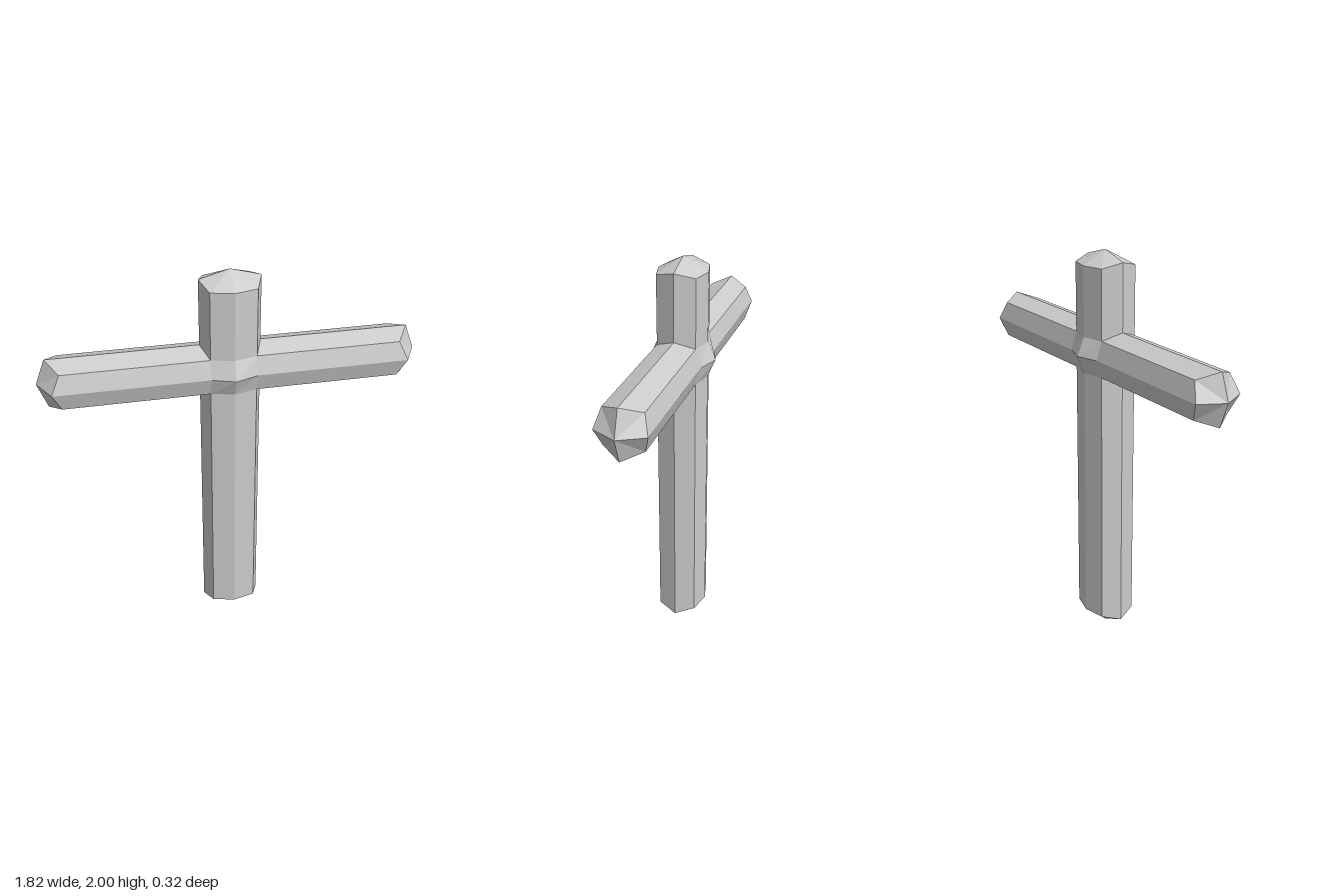
import * as THREE from 'three';

const CENTRE_Y = 1.505;
const material = new THREE.MeshStandardMaterial({ color: 0xcccccc, flatShading: true });

// Per-corner kinds of the eight-sided section: side, diagonal, face, diagonal, ...
const KIND = [0, 1, 2, 1, 0, 1, 2, 1];

// Faceted bar growing along +y: its root and end heights vary by corner kind, then it closes in a point
function limbGeometry({ side, diagonal, root, end, tip }) {
  const section = [
    [side, 0], [diagonal, 0.095], [0, 0.122], [-diagonal, 0.095],
    [-side, 0], [-diagonal, -0.095], [0, -0.122], [diagonal, -0.095],
  ];
  const positions = [];
  const index = [];
  for (const heights of [root, end]) {
    section.forEach(([x, z], i) => positions.push(x, heights[KIND[i]], z));
  }
  positions.push(0, tip, 0);
  for (let i = 0; i < 8; i++) {
    const j = (i + 1) % 8;
    index.push(i, i + 8, j, j, i + 8, j + 8); // wall
    index.push(i + 8, 16, j + 8); // pointed cap
  }
  return finish(positions, index);
}

function finish(positions, index) {
  const indexed = new THREE.BufferGeometry();
  indexed.setAttribute('position', new THREE.Float32BufferAttribute(positions, 3));
  indexed.setIndex(index);
  const geometry = indexed.toNonIndexed();
  geometry.computeVertexNormals();
  return geometry;
}

// Shallow four-facet boss covering the crossing
function bossGeometry() {
  const plane = new THREE.PlaneGeometry(0.22, 0.18, 2, 2);
  const p = plane.attributes.position;
  for (let i = 0; i < p.count; i++) {
    const offAxis = (Math.abs(p.getX(i)) > 0.01) + (Math.abs(p.getY(i)) > 0.01);
    p.setZ(i, [0.16, 0.122, 0.095][offAxis]);
  }
  return finish(Array.from(p.array), Array.from(plane.index.array));
}

export function createModel() {
  const group = new THREE.Group();
  const add = (name, geometry) => {
    const mesh = new THREE.Mesh(geometry, material);
    mesh.name = name;
    mesh.position.y = CENTRE_Y;
    group.add(mesh);
    return mesh;
  };

  // Upright post, above and below the crossing
  const post = { side: 0.146, diagonal: 0.11, root: [0.125, 0.09, 0.09] };
  add('upperPost', limbGeometry({ ...post, end: [0.455, 0.43, 0.43], tip: 0.495 }));
  add('lowerPost', limbGeometry({ ...post, end: [1.435, 1.405, 1.405], tip: 1.505 })).rotation.z = Math.PI;

  // Crossbar arms
  const arm = limbGeometry({
    side: 0.125, diagonal: 0.09, root: [0.146, 0.11, 0.11], end: [0.863, 0.803, 0.845], tip: 0.91,
  });
  add('leftArm', arm).rotation.z = -Math.PI / 2;
  add('rightArm', arm).rotation.z = Math.PI / 2;

  // Raised bosses on both faces of the crossing
  const boss = bossGeometry();
  add('frontBoss', boss);
  add('backBoss', boss).rotation.y = Math.PI;

  return group;
}
